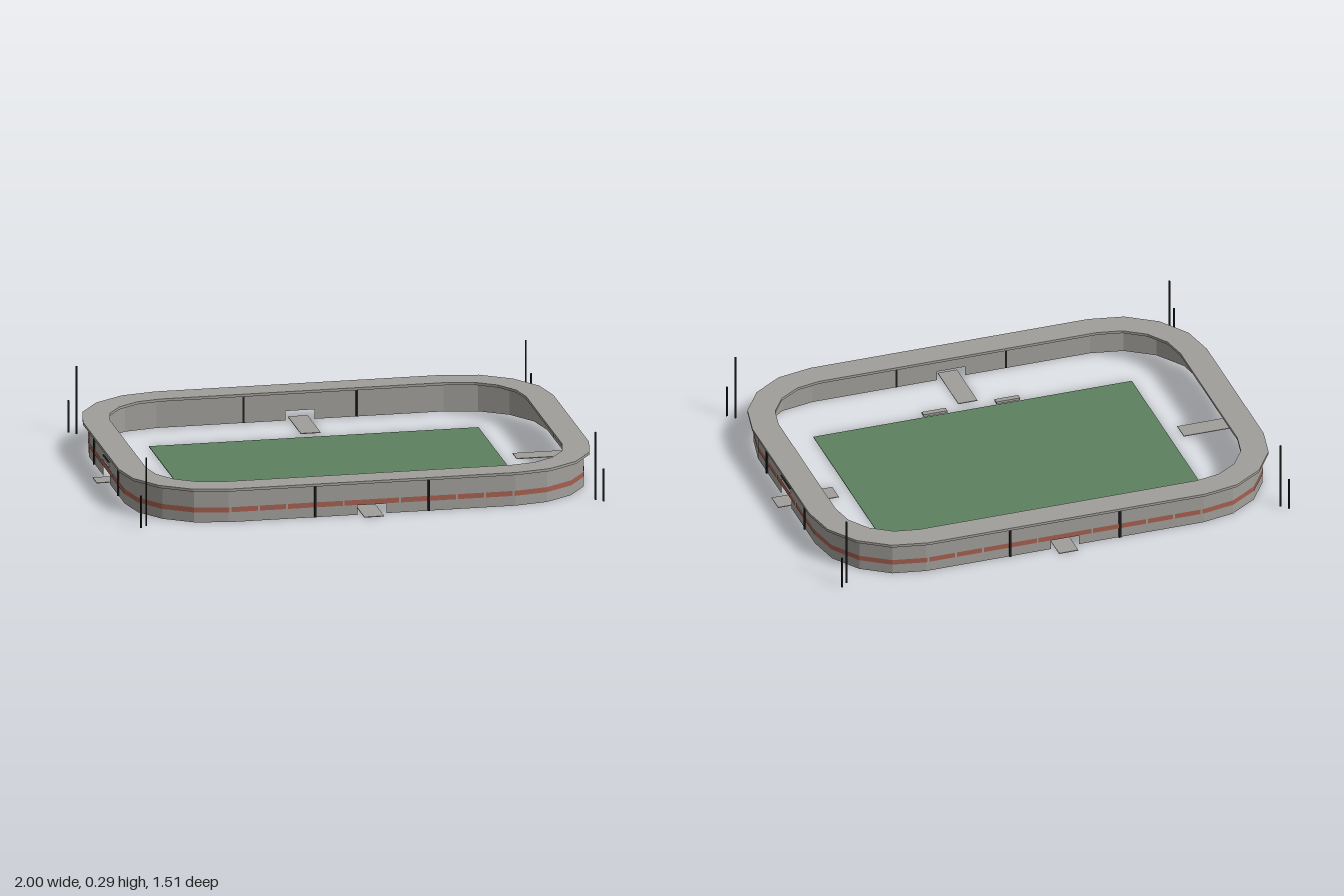
import * as THREE from 'three';

const mat = (name, color, side = THREE.FrontSide) => {
  const m = new THREE.MeshStandardMaterial({ color, side });
  m.name = name;
  return m;
};

// Rounded-rectangle plan of the stand: wall half sizes and corner radius
const HX = 0.95, HZ = 0.709, R = 0.355, STEPS = 4;
const WALL_TOP = 0.136;

// Corner points of the plan, grown outwards by d
function outline(d) {
  const pts = [];
  for (let q = 0; q < 4; q++) {
    const sx = q === 0 || q === 3 ? 1 : -1, sz = q < 2 ? 1 : -1;
    for (let i = 0; i <= STEPS; i++) {
      const a = (q + i / STEPS) * Math.PI / 2;
      pts.push(new THREE.Vector2(
        sx * (HX - R) + Math.cos(a) * (R + d),
        sz * (HZ - R) + Math.sin(a) * (R + d)));
    }
  }
  return pts;
}

// Upright faceted band; straight sides are cut at distances from their middle,
// and range(s) gives [y0, y1] or null for the piece at distance s (corners: null s)
function band(d, cuts, range) {
  const pts = outline(d), pos = [];
  const quad = (a, b, s) => {
    const r = range(s);
    if (!r) return;
    const [y0, y1] = r;
    pos.push(a.x, y0, a.y, a.x, y1, a.y, b.x, y1, b.y);
    pos.push(a.x, y0, a.y, b.x, y1, b.y, b.x, y0, b.y);
  };
  pts.forEach((a, i) => {
    const b = pts[(i + 1) % pts.length];
    if (i % (STEPS + 1) !== STEPS) return quad(a, b, null);
    const half = a.distanceTo(b) / 2;
    const mid = a.clone().add(b).multiplyScalar(0.5);
    const dir = b.clone().sub(a).normalize();
    const inner = cuts.filter((c) => c < half);
    const stops = [-half, ...inner.map((c) => -c).reverse(), ...inner, half];
    for (let k = 0; k < stops.length - 1; k++) {
      const at = (s) => mid.clone().addScaledVector(dir, s);
      quad(at(stops[k]), at(stops[k + 1]), Math.abs(stops[k] + stops[k + 1]) / 2);
    }
  });
  const g = new THREE.BufferGeometry();
  g.setAttribute('position', new THREE.Float32BufferAttribute(pos, 3));
  g.computeVertexNormals();
  return g;
}

export function createModel() {
  const concrete = mat('concrete grey', 0xa19f9a);
  const wallGrey = mat('wall grey', 0xa19f9a, THREE.DoubleSide);
  const red = mat('brick red', 0xa55f4f, THREE.DoubleSide);
  const green = mat('grass green', 0x5e8060);
  const black = mat('dark steel', 0x1c1c1c);

  const model = new THREE.Group();
  model.name = 'stadium';
  const add = (name, geometry, material, x = 0, y = 0, z = 0) => {
    const m = new THREE.Mesh(geometry, material);
    m.name = name;
    m.position.set(x, y, z);
    model.add(m);
    return m;
  };
  const box = (name, material, w, h, d, x, y, z) =>
    add(name, new THREE.BoxGeometry(w, h, d), material, x, y + h / 2, z);

  // Playing field
  box('field', green, 1.366, 0.003, 0.884, 0, 0, 0);

  // Outer wall with a low gateway in the middle of every side
  add('outerWall', band(0, [0.06], (s) => [s !== null && s < 0.06 ? 0.04 : 0, WALL_TOP]), wallGrey);

  // Red stripe, broken by narrow joints
  const joints = [0.117, 0.352, 0.468, 0.586];
  const gap = 0.004;
  add('wallStripe', band(0.002, joints.flatMap((j) => [j - gap, j + gap]), (s) =>
    s !== null && joints.some((j) => Math.abs(s - j) < gap) ? null : [0.042, 0.063]), red);

  // Flat roof ring
  const roofShape = new THREE.Shape(outline(0.025));
  roofShape.holes.push(new THREE.Path(outline(-0.088).reverse()));
  const roof = new THREE.ExtrudeGeometry(roofShape, { depth: 0.011, bevelEnabled: false });
  roof.rotateX(Math.PI / 2);
  add('roof', roof, concrete, 0, 0.147, 0);

  for (const s of [-1, 1]) {
    // Paths through the gateways
    box('longSidePath', concrete, 0.082, 0.003, 0.257, 0, 0, s * 0.6285);
    box('shortSidePath', concrete, 0.26, 0.003, 0.082, s * 0.87, 0, 0);

    // Thin ledges over the end gateways
    box('gateLedge', black, 0.006, 0.003, 0.11, s * (HX + 0.003), 0.089, 0);
    box('gateLedge', concrete, 0.006, 0.003, 0.11, s * (HX + 0.003), 0.069, 0);

    // Team benches beside the front path
    box('bench', concrete, 0.102, 0.01, 0.024, s * 0.156, 0, 0.462);

    for (const t of [-1, 1]) {
      // Dark pillars on the wall
      box('wallPillar', black, 0.009, WALL_TOP, 0.008, s * 0.235, 0, t * (HZ + 0.003));
      box('wallPillar', black, 0.008, WALL_TOP, 0.009, s * (HX + 0.003), 0, t * 0.235);

      // Corner posts and tall light masts
      box('cornerPost', black, 0.007, WALL_TOP, 0.007, s * 0.959, 0, t * 0.718);
      box('lightMast', black, 0.006, 0.286, 0.006, s * 0.931, 0, t * 0.691);
    }
  }
  return model;
}
